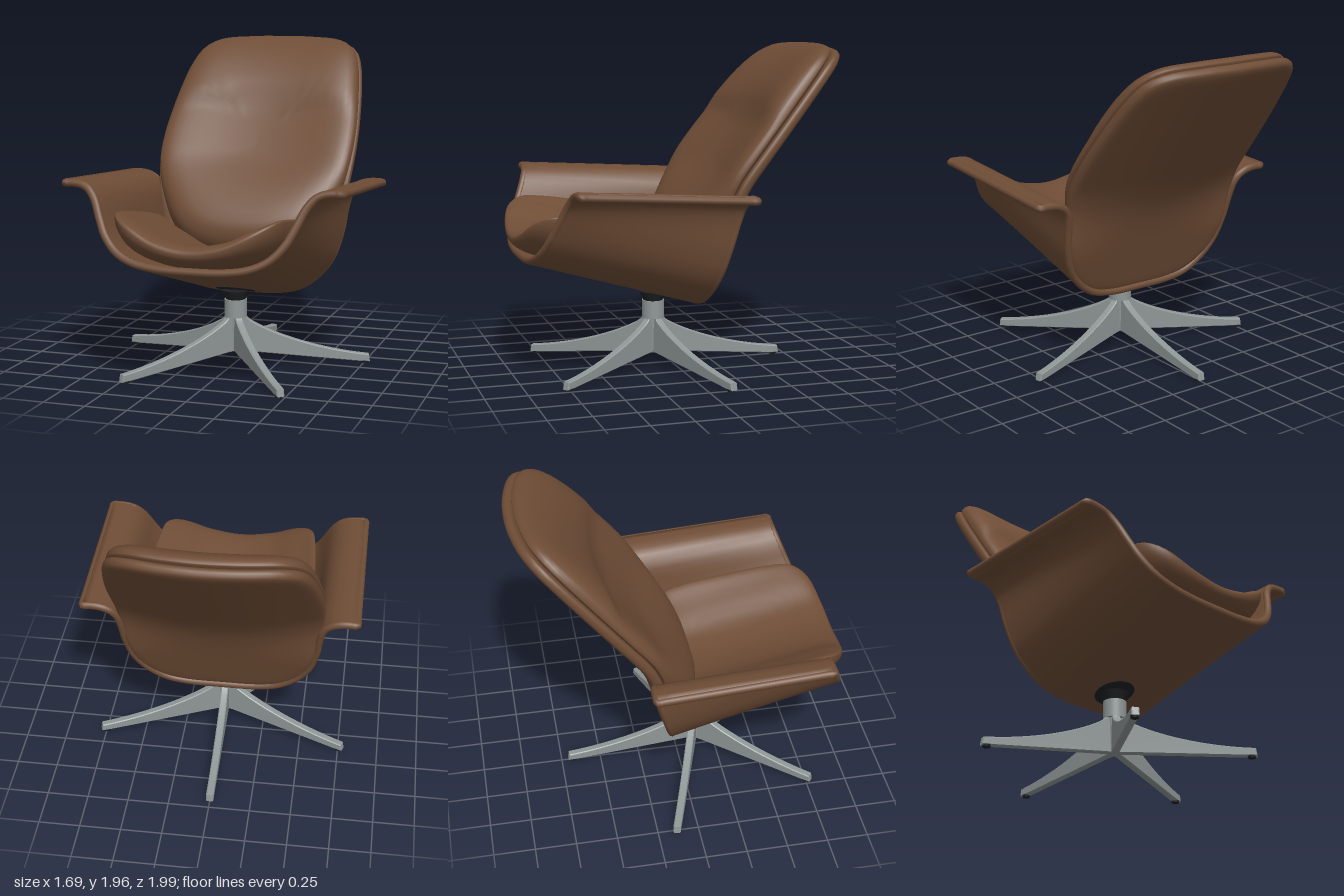
import * as THREE from 'three';

const leather = new THREE.MeshStandardMaterial({ color: 0x6f4d36 });
leather.name = 'brown leather';
const metal = new THREE.MeshStandardMaterial({ color: 0x8f9796 });
metal.name = 'grey metal';
const black = new THREE.MeshStandardMaterial({ color: 0x1e2124 });
black.name = 'black plastic';

const step = THREE.MathUtils.smoothstep;

function mesh(name, geometry, material) {
  const m = new THREE.Mesh(geometry, material);
  m.name = name;
  return m;
}

// Smooth curve through a half profile (centre first) and its mirror image
function mirrored(half, closed) {
  const right = half.map(([x, y]) => new THREE.Vector3(x, y, 0));
  const left = half.filter(([x]) => x > 0).reverse().map(([x, y]) => new THREE.Vector3(-x, y, 0));
  return new THREE.CatmullRomCurve3(closed ? [...right, ...left] : [...left, ...right], closed, 'centripetal');
}

// Grid of rows (closed around) turned into a smooth surface
function skin(rows) {
  const n = rows[0].length, index = [];
  for (let i = 0; i + 1 < rows.length; i++) {
    for (let j = 0; j < n; j++) {
      const k = (j + 1) % n, a = i * n + j, b = a + n, c = (i + 1) * n + k, d = i * n + k;
      index.push(a, b, c, a, c, d);
    }
  }
  const g = new THREE.BufferGeometry();
  g.setAttribute('position', new THREE.Float32BufferAttribute(rows.flat(2), 3));
  g.setIndex(index);
  g.computeVertexNormals();
  return g;
}

// Upholstered pad: concentric rings of an outline, placed by place(x, s, side, fullness)
function pad(outline, centre, power, place) {
  const loop = mirrored(outline, true).getSpacedPoints(96).slice(0, 96);
  const radii = [0, 0.1, 0.2, 0.3, 0.4, 0.5, 0.6, 0.7, 0.78, 0.85, 0.9, 0.94, 0.97, 0.985, 0.995, 1];
  const ring = (r, side) => {
    const f = Math.sqrt(Math.max(0, 1 - r ** power));
    return loop.map(p => place(p.x * r, centre + (p.y - centre) * r, side, f));
  };
  return skin([...radii.map(r => ring(r, 1)), ...radii.slice(0, -1).reverse().map(r => ring(r, -1))]);
}

// Rear surface of the reclined back, offset forward by d
function backPoint(x, y, d) {
  const w = 0.06, t = (y - 0.985) / w;
  const z = -0.08 - 0.35 * (y - 0.41) - 0.43 * w * Math.log(1 + Math.exp(t));
  const slope = -0.35 - 0.43 / (1 + Math.exp(-t));
  const len = Math.hypot(1, slope);
  const wrap = 0.12 * step(y, 0.7, 1.2) * (x / 0.63) ** 2;
  return [x, y - slope / len * d, z + wrap + d / len];
}

// U-shaped seat shell with armrests, lofted from front edge to back edge
function buildSeatShell() {
  const N = 60, T = 0.043;
  const front = mirrored([[0, 0.698], [0.2, 0.703], [0.35, 0.728], [0.46, 0.78], [0.545, 0.868], [0.6, 0.972],
    [0.645, 1.068], [0.695, 1.124], [0.76, 1.142], [0.82, 1.141]]);
  const back = mirrored([[0, 0.405], [0.22, 0.41], [0.36, 0.443], [0.48, 0.53], [0.56, 0.643], [0.605, 0.795],
    [0.625, 0.945], [0.65, 1.032], [0.7, 1.07], [0.76, 1.082], [0.82, 1.08]]);
  const edge = (curve, zOf) => {
    const pts = curve.getSpacedPoints(N);
    const at = k => pts.map((p, i) => {
      const t = curve.getTangentAt(i / N);
      const x = p.x - t.y * k, y = p.y + t.x * k;
      return new THREE.Vector3(x, y, zOf(y));
    });
    return { mid: at(T / 2), loop: [...at(0), ...at(T).reverse()] };
  };
  const f = edge(front, y => 0.75 + (1.19 - y) * 0.395);
  const b = edge(back, y => -0.262 + (1.13 - y) * 0.26);
  const rows = [];
  for (let i = 0; i <= 10; i++) {
    rows.push(f.loop.map((p, j) => p.clone().lerp(b.loop[j], i / 10).toArray()));
  }
  // Piping all round the edge
  const side = (p, q) => [0.04, 0.35, 0.65, 0.96].map(t => p.clone().lerp(q, t));
  const path = [...f.mid, ...side(f.mid[N], b.mid[N]), ...b.mid.slice().reverse(), ...side(b.mid[0], f.mid[0])];
  const rim = new THREE.CatmullRomCurve3(path, true, 'centripetal');
  const g = new THREE.Group();
  g.name = 'seatShell';
  g.add(mesh('shellBody', skin(rows), leather));
  g.add(mesh('shellPiping', new THREE.TubeGeometry(rim, 420, 0.0235, 10, true), leather));
  return g;
}

function buildBackrest() {
  const g = new THREE.Group();
  g.name = 'backrest';
  // Hard rear panel reaching down into the seat shell
  const panel = [[0, 0.418], [0.25, 0.428], [0.4, 0.48], [0.51, 0.59], [0.57, 0.75], [0.605, 0.95], [0.63, 1.15],
    [0.63, 1.35], [0.6, 1.6], [0.565, 1.75], [0.52, 1.84], [0.43, 1.888], [0.22, 1.908], [0, 1.911]];
  g.add(mesh('backPanel', pad(panel, 1.2, 50, (x, y, side, f) => backPoint(x, y, 0.035 + side * 0.035 * f)), leather));
  // Soft cushion with a thicker headrest
  const cushion = [[0, 0.58], [0.3, 0.62], [0.46, 0.74], [0.555, 0.92], [0.613, 1.12], [0.624, 1.32],
    [0.595, 1.56], [0.56, 1.72], [0.51, 1.82], [0.42, 1.875], [0.21, 1.896], [0, 1.899]];
  g.add(mesh('backCushion', pad(cushion, 1.2, 7, (x, y, side, f) => {
    const full = 0.095 + 0.05 * step(y, 1.4, 1.52) * (1 - 0.5 * (x / 0.6) ** 2) * (1 - 0.6 * step(y, 1.6, 1.9))
      + 0.13 * (1 - step(y, 0.7, 1.15));
    return backPoint(x, y, side > 0 ? 0.085 + full * f : 0.085 - 0.03 * f);
  }), leather));
  return g;
}

// Seat cushion, dished to follow the shell (s runs towards the back)
function buildSeatCushion() {
  const outline = [[0, -0.998], [0.22, -0.987], [0.4, -0.937], [0.48, -0.85], [0.51, -0.7],
    [0.53, -0.4], [0.54, -0.1], [0.525, 0], [0.4, 0.05], [0, 0.06]];
  return mesh('seatCushion', pad(outline, -0.45, 7, (x, s, side, f) => {
    const pucker = 0.006 * Math.sin(24 * Math.abs(x)) * step(Math.abs(x), 0.1, 0.3);
    const y = 0.597 - 0.225 * s + 0.9 * x * x;
    return [x, y + f * (side > 0 ? 0.068 + pucker : -0.072 - 0.4 * x * x), -s];
  }), leather);
}

// Five-legged swivel base, one leg pointing straight back
function buildBase() {
  const base = new THREE.Group();
  base.name = 'swivelBase';
  base.position.z = 0.115;
  const cylinder = (name, top, bottom, y0, y1, material) => {
    const m = mesh(name, new THREE.CylinderGeometry(top, bottom, y1 - y0, 32), material);
    m.position.y = (y0 + y1) / 2;
    base.add(m);
    return m;
  };
  cylinder('column', 0.069, 0.069, 0.29, 0.4, metal);
  cylinder('hub', 0.05, 0.042, 0.08, 0.3, metal);
  cylinder('swivelCone', 0.085, 0.06, 0.4, 0.455, black);
  const plate = cylinder('mountingPlate', 0.125, 0.115, 0.454, 0.463, black);
  plate.rotation.x = -0.28;

  const side = new THREE.Shape();
  side.moveTo(0, 0.08);
  side.lineTo(0.06, 0.08);
  side.lineTo(0.765, 0.016);
  side.lineTo(0.818, 0.014);
  side.lineTo(0.812, 0.05);
  side.bezierCurveTo(0.52, 0.08, 0.25, 0.17, 0.11, 0.25);
  side.quadraticCurveTo(0.066, 0.275, 0.062, 0.29);
  side.lineTo(0, 0.29);
  const legShape = new THREE.ExtrudeGeometry(side, {
    depth: 0.034, curveSegments: 16, bevelThickness: 0.006, bevelSize: 0.005, bevelSegments: 1,
  });
  legShape.translate(0, 0, -0.017);
  const footShape = new THREE.CylinderGeometry(0.025, 0.022, 0.014, 16);
  footShape.translate(0.79, 0.007, 0);
  for (let k = 0; k < 5; k++) {
    const leg = new THREE.Group();
    leg.name = 'leg' + (k + 1);
    leg.rotation.y = Math.PI / 2 + k * Math.PI * 2 / 5;
    leg.add(mesh('legBlade', legShape, metal), mesh('footGlide', footShape, black));
    base.add(leg);
  }
  return base;
}

export function createModel() {
  const chair = new THREE.Group();
  chair.name = 'loungeChair';
  chair.add(buildSeatShell(), buildBackrest(), buildSeatCushion(), buildBase());
  return chair;
}
